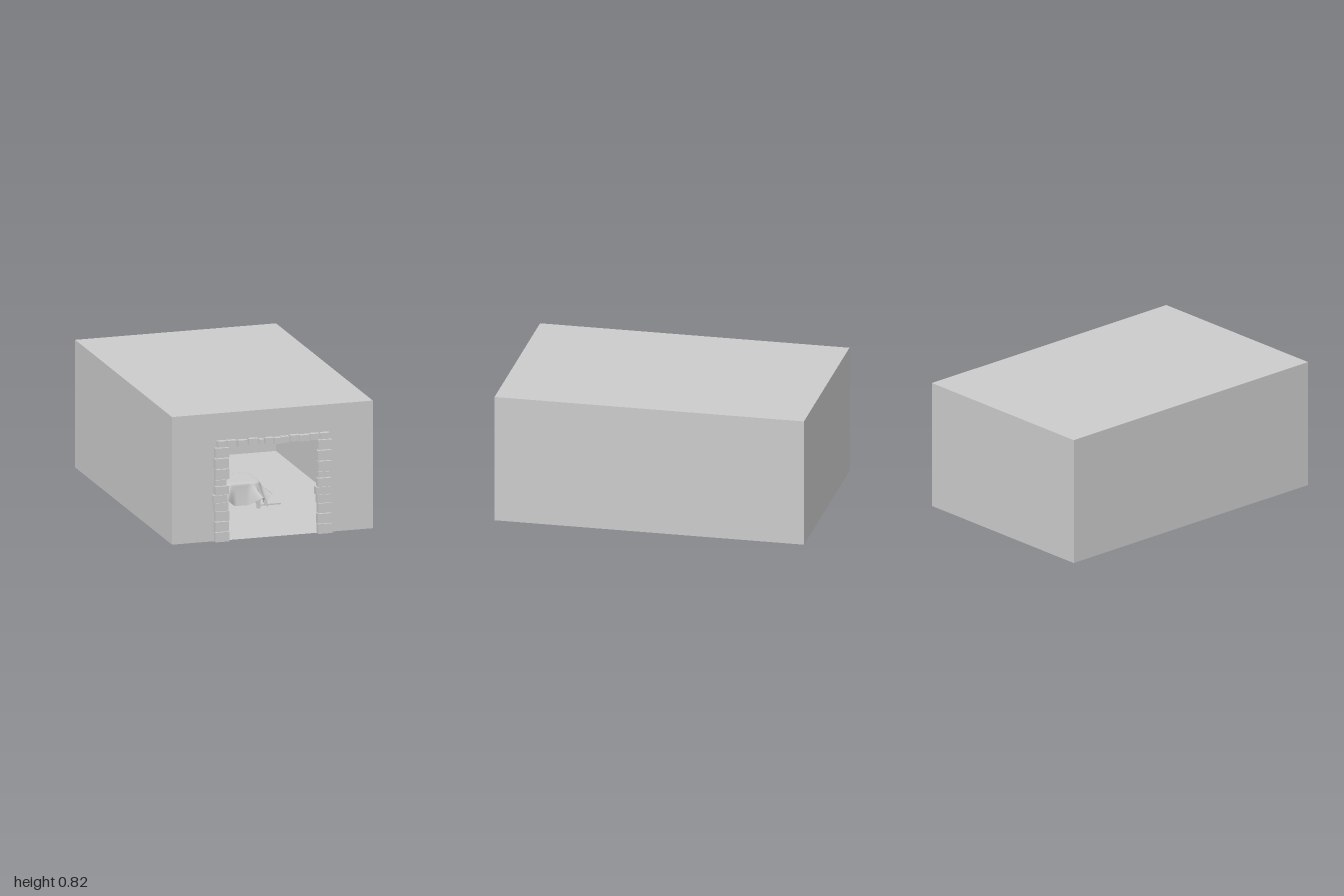
import * as THREE from 'three';

const grey = new THREE.MeshStandardMaterial({ color: 0xcccccc });
const thin = new THREE.MeshStandardMaterial({ color: 0xcccccc, side: THREE.DoubleSide });

const W = 0.655, H = 0.82, BACK = -1, FRONT = 0.968;

function add(parent, name, geometry, material = grey) {
  const mesh = new THREE.Mesh(geometry, material);
  mesh.name = name;
  parent.add(mesh);
  return mesh;
}

// Box given by its lower and upper limits
function block(parent, name, x0, x1, y0, y1, z0, z1) {
  add(parent, name, new THREE.BoxGeometry(x1 - x0, y1 - y0, z1 - z0))
    .position.set((x0 + x1) / 2, (y0 + y1) / 2, (z0 + z1) / 2);
}

// Thin-walled shell with a doorway notched out of the front wall
function createShell() {
  const shell = new THREE.Group();
  shell.name = 'building';
  const depth = FRONT - BACK, zc = (FRONT + BACK) / 2;

  const outline = [
    [-W, 0], [-0.33, 0], [-0.33, 0.615], [0.335, 0.615], [0.335, 0], [W, 0], [W, H], [-W, H],
  ].map(p => new THREE.Vector2(...p));
  add(shell, 'frontWall', new THREE.ShapeGeometry(new THREE.Shape(outline)), thin).position.z = FRONT;

  const back = add(shell, 'backWall', new THREE.PlaneGeometry(2 * W, H), thin);
  back.position.set(0, H / 2, BACK);
  back.rotation.y = Math.PI;

  for (const s of [-1, 1]) {
    const side = add(shell, s > 0 ? 'leftWall' : 'rightWall', new THREE.PlaneGeometry(depth, H), thin);
    side.position.set(s * W, H / 2, zc);
    side.rotation.y = s * Math.PI / 2;

    const slab = add(shell, s > 0 ? 'roof' : 'floor', new THREE.PlaneGeometry(2 * W, depth), thin);
    slab.position.set(0, s > 0 ? H : 0, zc);
    slab.rotation.x = -s * Math.PI / 2;
  }
  return shell;
}

// Uneven stones around the doorway
function createStoneFrame() {
  const frame = new THREE.Group();
  frame.name = 'stoneFrame';

  // Pillar stones: left edge, width, bottom, top
  const pillar = [
    [-0.38, 0.09, 0, 0.062], [-0.383, 0.09, 0.066, 0.128], [-0.38, 0.09, 0.133, 0.195],
    [-0.387, 0.09, 0.198, 0.25], [-0.394, 0.09, 0.252, 0.3], [-0.383, 0.088, 0.302, 0.356],
    [-0.38, 0.07, 0.361, 0.398], [-0.38, 0.09, 0.4, 0.465], [-0.383, 0.088, 0.47, 0.534],
    [-0.38, 0.09, 0.54, 0.602],
  ];
  for (const shift of [0, 0.67]) {
    const name = shift ? 'leftPillarStone' : 'rightPillarStone';
    for (const [x, w, y0, y1] of pillar) block(frame, name, x + shift, x + w + shift, y0, y1, FRONT - 0.01, 1);
  }

  // Lintel stones: left edge, right edge, bottom
  const lintel = [
    [-0.366, -0.307, 0.607], [-0.303, -0.243, 0.607], [-0.233, -0.172, 0.603], [-0.162, -0.102, 0.607],
    [-0.096, -0.064, 0.607], [-0.054, -0.002, 0.604], [0.002, 0.048, 0.6], [0.048, 0.101, 0.604],
    [0.107, 0.166, 0.608], [0.17, 0.235, 0.604], [0.237, 0.297, 0.607], [0.304, 0.365, 0.607],
  ];
  lintel.forEach(([x0, x1, y], i) =>
    block(frame, 'lintelStone', x0, x1, y, y + (i === 4 ? 0.031 : 0.039), FRONT - 0.01, 1));
  return frame;
}

// Draped cloth: rounded-square rings, flaring into two folds beside each corner tip
function createCloth() {
  const SEG = 144, HANG = 12;
  const rings = [[0, 0.172], [0.06, 0.172], [0.115, 0.172], [0.126, 0.17]];
  const pos = [], index = [];
  const rows = rings.length + HANG;
  const bell = (d, width) => Math.exp(-((d / width) ** 2));

  for (let j = 0; j < rows; j++) {
    for (let i = 0; i < SEG; i++) {
      const a = (i / SEG) * Math.PI * 2;
      const c = Math.cos(a), s = Math.sin(a);
      const square = (Math.abs(c) ** 8 + Math.abs(s) ** 8) ** (-1 / 8);
      const fromCorner = Math.abs((a % (Math.PI / 2)) - Math.PI / 4);
      const fold = bell(fromCorner - 0.25, 0.13), tip = bell(fromCorner, 0.09);
      let r, y;
      if (j < rings.length) [r, y] = rings[j];
      else {
        const t = (j - rings.length) / (HANG - 1);
        const hemR = 0.145 * (1 + 0.42 * fold + 0.22 * tip);
        const hemY = 0.032 + 0.055 * fold - 0.018 * tip;
        r = THREE.MathUtils.lerp(0.131, hemR, t ** 1.4);
        y = THREE.MathUtils.lerp(0.165, hemY, t);
      }
      pos.push(r * square * c, y, r * square * s);
      if (j < rows - 1) {
        const n = (i + 1) % SEG, p = j * SEG, q = p + SEG;
        if (j > 0) index.push(p + i, p + n, q + i);
        index.push(q + i, p + n, q + n);
      }
    }
  }
  const geometry = new THREE.BufferGeometry();
  geometry.setAttribute('position', new THREE.Float32BufferAttribute(pos, 3));
  geometry.setIndex(index);
  geometry.computeVertexNormals();
  return geometry;
}

// Covered table standing inside
function createTable() {
  const table = new THREE.Group();
  table.name = 'table';
  add(table, 'tablecloth', createCloth(), thin);
  block(table, 'tableTop', -0.122, 0.122, 0.15, 0.168, -0.122, 0.122);
  for (const x of [-0.115, 0.115])
    for (const z of [-0.115, 0.115])
      block(table, 'tableLeg', x - 0.01, x + 0.01, 0, 0.15, z - 0.01, z + 0.01);
  table.position.set(0.012, 0, 0.17);
  return table;
}

export function createModel() {
  const model = new THREE.Group();
  model.name = 'garage';
  model.add(createShell(), createStoneFrame(), createTable());

  // Low plank lying on the floor beside the table
  block(model, 'floorPlank', 0.15, 0.29, 0, 0.009, 0.1, 0.24);
  return model;
}
